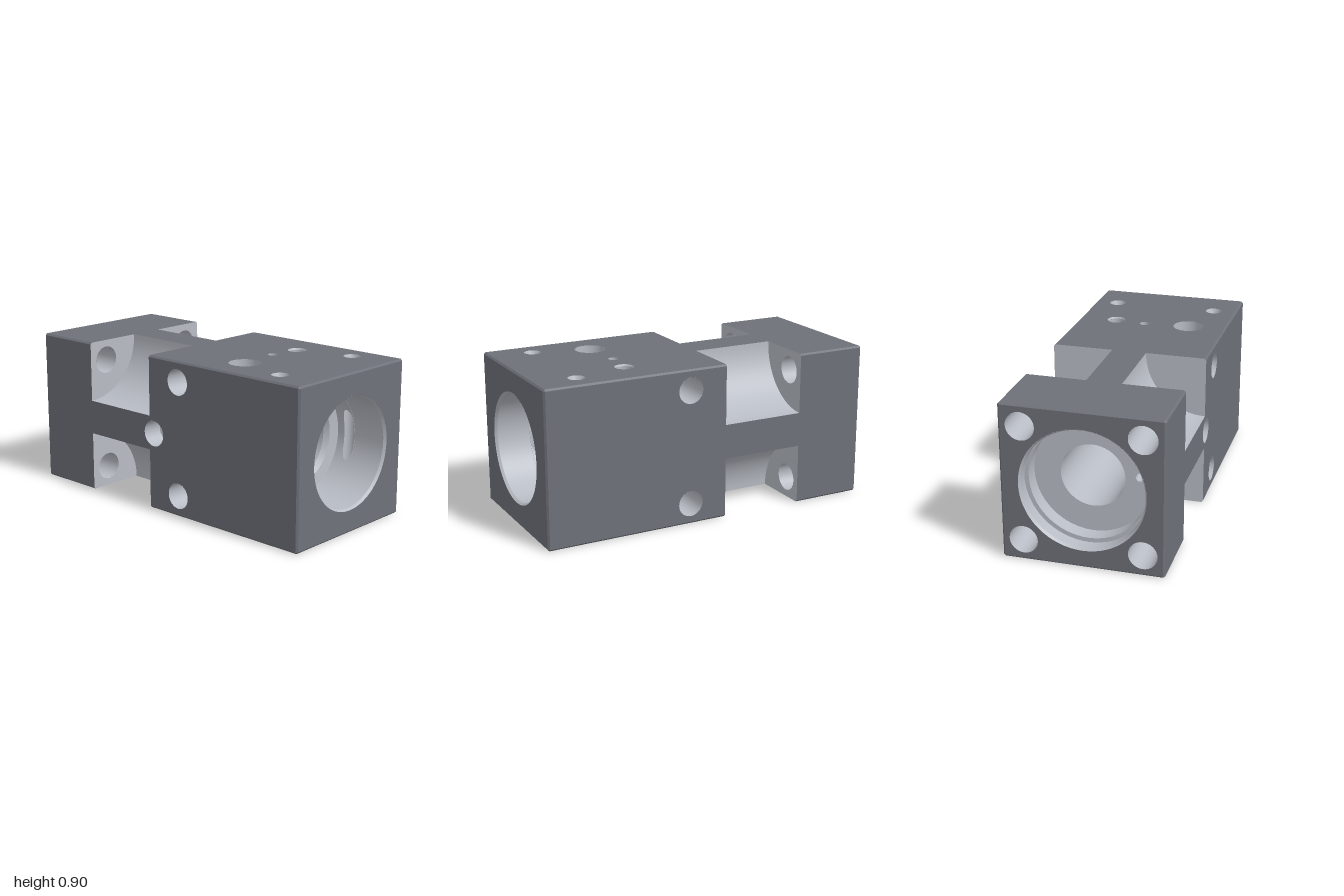
import * as THREE from 'three';

const H = 0.45, C = 0.01, N0 = -0.58, N1 = -0.09, NECK = 0.1, ARC = 0.35;
const WIDE = 0.31, MID = 0.225, FLOOR = -0.8;
const outer = new THREE.MeshStandardMaterial({ color: 0x6e7179, side: THREE.DoubleSide });
const cut = new THREE.MeshStandardMaterial({ color: 0xb8bcc4, side: THREE.DoubleSide });

// Grid surface from a rule f(u, v) -> [x, y, z]
function surface(nu, nv, f) {
  const pos = [], idx = [];
  for (let i = 0; i <= nu; i++) {
    for (let j = 0; j <= nv; j++) {
      pos.push(...f(i / nu, j / nv));
      if (i < nu && j < nv) {
        const a = i * (nv + 1) + j, b = a + nv + 1;
        idx.push(a, b, a + 1, b, b + 1, a + 1);
      }
    }
  }
  const g = new THREE.BufferGeometry();
  g.setAttribute('position', new THREE.Float32BufferAttribute(pos, 3));
  g.setIndex(idx);
  g.computeVertexNormals();
  return g;
}

function addHoles(s, holes) {
  for (const [x, y, r] of holes) s.holes.push(new THREE.Path().absarc(x, y, r, 0, Math.PI * 2, true));
  return s;
}

const shapeOf = (points, holes) => addHoles(new THREE.Shape(points.map(p => new THREE.Vector2(...p))), holes);

// One lathe per profile step, so the edges stay sharp
const lathes = pts => pts.slice(1).map((p, i) =>
  new THREE.LatheGeometry([pts[i], p].map(q => new THREE.Vector2(...q)), 64));

export function createModel() {
  const model = new THREE.Group();
  const body = new THREE.Group();
  body.name = 'valveBlock';
  body.position.y = H;
  model.add(body);
  const add = (name, geo, mat = cut) => {
    const m = new THREE.Mesh(geo, mat);
    m.name = name;
    body.add(m);
    return m;
  };
  const lerp = THREE.MathUtils.lerp;

  // Long faces: waisted outline, each with its own holes
  const e = H - C;
  const outline = [[-0.99, -e], [N0, -e], [N0, -NECK], [N1, -NECK], [N1, -e], [0.99, -e],
    [0.99, e], [N1, e], [N1, NECK], [N0, NECK], [N0, e], [-0.99, e]];
  const longFace = holes => new THREE.ShapeGeometry(shapeOf(outline, holes), 40);
  const crossHoles = [[0.133, 0.33, 0.075], [0.133, -0.33, 0.075]];
  const portHoles = s => [[0.753, 0.31, 0.048], [0.753, -0.31, 0.048],
    [0.43, 0.225 * s, 0.09], [0.43, -0.225 * s, 0.055], [0.407, -0.04 * s, 0.03]];
  add('frontFace', longFace([...crossHoles, [-0.057, 0, 0.075]]).translate(0, 0, H), outer);
  add('backFace', longFace(crossHoles).translate(0, 0, -H), outer);
  add('topFace', longFace(portHoles(1)).rotateX(Math.PI / 2).translate(0, H, 0), outer);
  add('bottomFace', longFace(portHoles(-1)).rotateX(Math.PI / 2).translate(0, -H, 0), outer);

  // End faces with bore openings and flange bolt holes
  const square = [[-e, -e], [e, -e], [e, e], [-e, e]];
  const bolts = [];
  for (const a of [-1, 1]) for (const b of [-1, 1]) bolts.push([0.33 * a, 0.33 * b, 0.08]);
  const endFace = holes => new THREE.ShapeGeometry(shapeOf(square, holes), 64);
  add('rightEndFace', endFace([[0, 0, 0.32]]).rotateY(Math.PI / 2).translate(1, 0, 0), outer);
  add('leftEndFace', endFace([[0, 0, 0.35], ...bolts]).rotateY(-Math.PI / 2).translate(-1, 0, 0), outer);

  // Edge chamfers: along the block and around both ends
  const ring = [[e, H], [-e, H], [-H, e], [-H, -e], [-e, -H], [e, -H], [H, -e], [H, e], [e, H]];
  const clampE = v => THREE.MathUtils.clamp(v, -e, e);
  for (let i = 0; i < 8; i++) {
    const p = ring[i], q = ring[i + 1];
    if (i % 2) {
      for (const [a, b] of [[-0.99, N0], [N1, 0.99]]) {
        add('edgeChamfer', surface(1, 1, (u, v) => [lerp(a, b, u), lerp(p[0], q[0], v), lerp(p[1], q[1], v)]), outer);
      }
    }
    for (const s of [-1, 1]) {
      add('endChamfer', surface(1, 1, (u, v) => {
        const k = v ? q : p;
        return u ? [s, clampE(k[0]), clampE(k[1])] : [0.99 * s, ...k];
      }), outer);
    }
  }

  // Four scooped corner reliefs forming the waist, with their end walls
  const wall = holes => {
    const s = new THREE.Shape();
    s.moveTo(NECK, H);
    s.lineTo(e, H);
    s.lineTo(H, e);
    s.lineTo(H, NECK);
    s.absarc(H, H, ARC, Math.PI * 1.5, Math.PI, true);
    return new THREE.ShapeGeometry(addHoles(s, holes), 32).rotateY(-Math.PI / 2);
  };
  const scoop = surface(1, 24, (u, v) => {
    const a = Math.PI * (1 + v / 2);
    return [lerp(N0, N1, u), H + ARC * Math.sin(a), H + ARC * Math.cos(a)];
  });
  const flangeWall = wall([[0.33, 0.33, 0.08]]).translate(N0, 0, 0);
  const blockWall = wall([]).translate(N1, 0, 0);
  const boltTube = new THREE.CylinderGeometry(0.08, 0.08, 1 + N0, 32, 1, true)
    .rotateZ(Math.PI / 2).translate((N0 - 1) / 2, 0.33, 0.33);
  for (const sy of [-1, 1]) {
    for (const sz of [-1, 1]) {
      add('waistScoop', scoop).scale.set(1, sy, sz);
      add('flangeWall', flangeWall).scale.set(1, sy, sz);
      add('blockWall', blockWall).scale.set(1, sy, sz);
      add('flangeBoltHole', boltTube).scale.set(1, sy, sz);
    }
    // Cross holes running front to back
    add('crossHole', new THREE.CylinderGeometry(0.075, 0.075, 2 * H, 32, 1, true)
      .rotateX(Math.PI / 2).translate(0.133, 0.33 * sy, 0));
  }

  // Stepped main bore, profiles as [radius, x]
  const bore = pts => lathes(pts).forEach(g => add('mainBore', g.rotateZ(-Math.PI / 2)));
  bore([[0.32, 1], [WIDE, 0.985], [WIDE, 0.789]]);
  bore([[WIDE, 0.717], [WIDE, 0.67], [0.245, 0.66], [MID, 0.63], [MID, 0.48]]);
  bore([[MID, 0.38], [MID, 0], [0.215, -0.01], [0.215, -0.1], [0.18, -0.14], [0.18, FLOOR]]);
  bore([[0.33, FLOOR], [0.33, -0.89], [0.355, -0.89], [0.355, -0.93], [0.34, -0.93], [0.34, -0.985], [0.35, -1]]);

  // Floor of the left recess with a small drilling
  const floor = addHoles(new THREE.Shape().absarc(0, 0, 0.33, 0, Math.PI * 2), [[0, 0, 0.18], [0.26, 0.02, 0.024]]);
  add('recessFloor', new THREE.ShapeGeometry(floor, 64).rotateY(-Math.PI / 2).translate(FLOOR, 0, 0));
  add('recessDrilling', new THREE.CylinderGeometry(0.024, 0.024, 0.15, 20, 1, true)
    .rotateZ(Math.PI / 2).translate(FLOOR + 0.075, 0.02, 0.26));

  // Bore bands pierced by vertical drillings, and the drillings down to the bore
  for (const [xc, zc, r, R] of [[0.753, 0.31, 0.036, WIDE], [0.43, 0.225, 0.05, MID]]) {
    const band = surface(20, 16, (u, v) => {
      const a = v * Math.asin((zc - r * Math.sin(Math.PI * u)) / R);
      return [xc + r * Math.cos(Math.PI * u), R * Math.cos(a), R * Math.sin(a)];
    });
    for (const sy of [-1, 1]) {
      for (const sz of [-1, 1]) {
        add('piercedBore', band).scale.set(1, sy, sz);
        // Entry: countersunk pin hole, wide counterbore or lightly chamfered port
        const port = sy === sz ? [[0.09, H], [0.09, 0.33], [r, 0.33]] : [[0.055, H], [r, 0.44]];
        const entry = R === WIDE ? [[0.048, H], [r, 0.42]] : port;
        const top = entry[entry.length - 1][1];
        for (const g of lathes(entry)) add('holeEntry', g.translate(xc, 0, zc)).scale.set(1, sy, sz);
        add('verticalHole', surface(40, 1, (u, v) => {
          const a = u * Math.PI * 2, z = zc + r * Math.sin(a);
          const y = Math.sqrt(Math.max(0, R * R - z * z));
          return [xc + r * Math.cos(a), lerp(top, y, v), z];
        })).scale.set(1, sy, sz);
      }
    }
  }
  // Bore remnants on either side of the port drillings
  for (const x of [0.43 - 0.05, 0.43 + 0.05]) {
    add('boreEdge', new THREE.CylinderGeometry(MID, MID, 0.002, 64, 1, true).rotateZ(Math.PI / 2).translate(x, 0, 0));
  }

  // Small pilot holes on top and bottom
  for (const s of [-1, 1]) {
    add('pilotHole', new THREE.CylinderGeometry(0.03, 0.03, 0.16, 24, 1, true).translate(0.407, s * 0.37, -0.04 * s));
  }

  // Blind stepped hole in the front of the waist
  for (const g of lathes([[0.075, 0], [0.075, -0.12], [0.035, -0.13], [0.035, -0.17], [0.02, -0.17], [0, -0.18]])) {
    add('frontPlugHole', g.rotateX(Math.PI / 2).translate(-0.057, 0, H));
  }
  return model;
}
